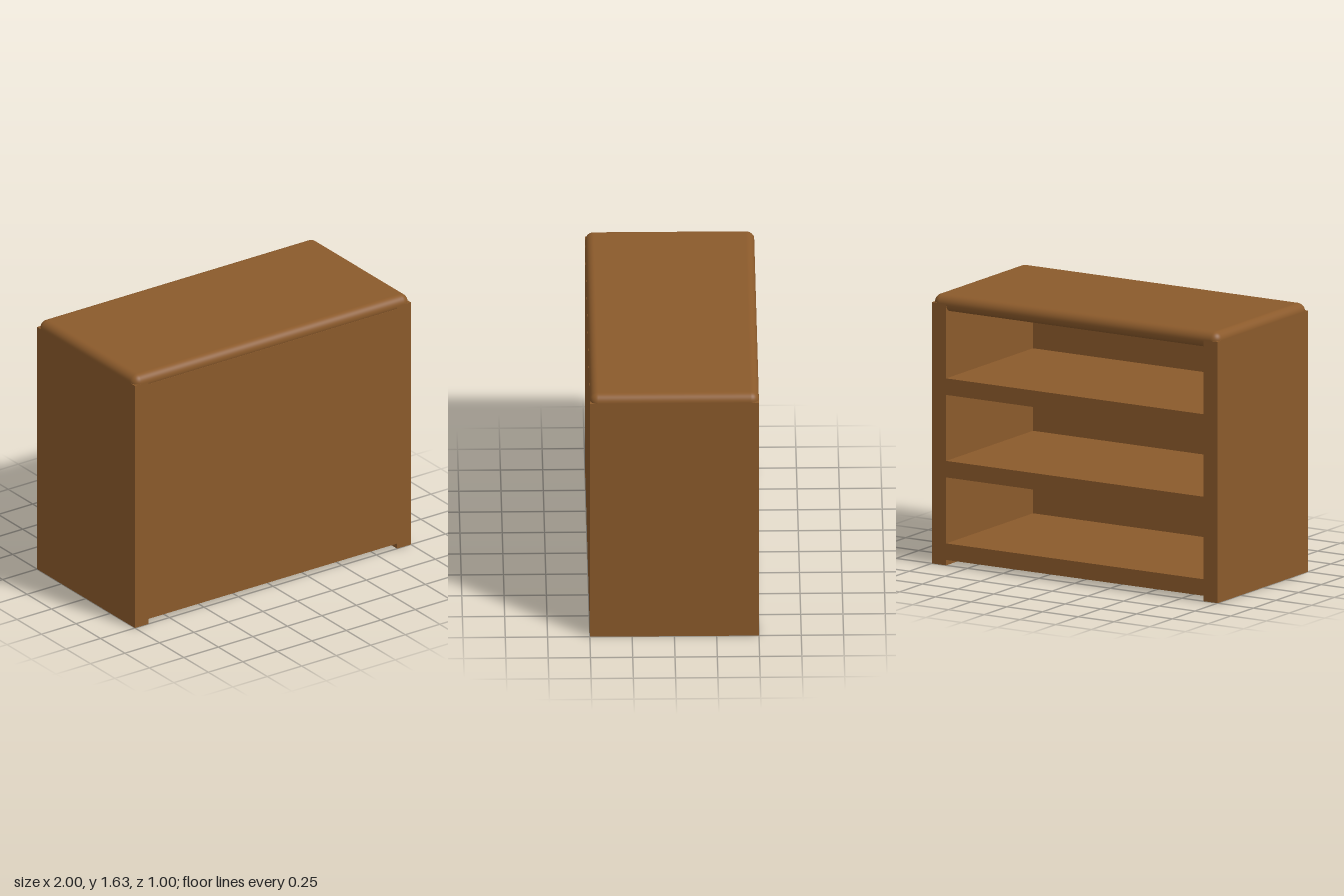
import * as THREE from 'three';
import { RoundedBoxGeometry } from 'three/addons/geometries/RoundedBoxGeometry.js';

export function createModel() {
  const model = new THREE.Group();
  model.name = 'bookcase';
  const wood = new THREE.MeshStandardMaterial({ color: 0x8b5a2b });
  wood.name = 'brown wood';

  const add = (name, geometry, x, y, z) => {
    const mesh = new THREE.Mesh(geometry, wood);
    mesh.name = name;
    mesh.position.set(x, y, z);
    model.add(mesh);
  };

  const board = 0.1;       // thickness of sides, shelves and top
  const inner = 1.8;       // width between the sides
  const base = 0.033;      // gap under the bottom shelf
  const sideTop = 1.583;
  const panel = 0.04;      // closed front panel thickness
  const panelTop = 1.567;

  // Upright sides reaching the floor
  for (const s of [-1, 1]) {
    add(s > 0 ? 'leftSide' : 'rightSide', new THREE.BoxGeometry(board, sideTop, 1), s * 0.95, sideTop / 2, 0);
  }

  // Bottom board and two shelves, open towards the back
  ['bottomShelf', 'middleShelf', 'upperShelf'].forEach((name, i) => {
    add(name, new THREE.BoxGeometry(inner, board, 1 - panel), 0, base + board / 2 + i * 0.5, -panel / 2);
  });

  // Closed panel flush with the front of the sides
  add('frontPanel', new THREE.BoxGeometry(inner, panelTop - base, panel), 0, (panelTop + base) / 2, 0.5 - panel / 2);

  // Top board with rounded edges
  add('topBoard', new RoundedBoxGeometry(2, board, 1, 6, 0.0495), 0, base + board / 2 + 1.5, 0);

  return model;
}
